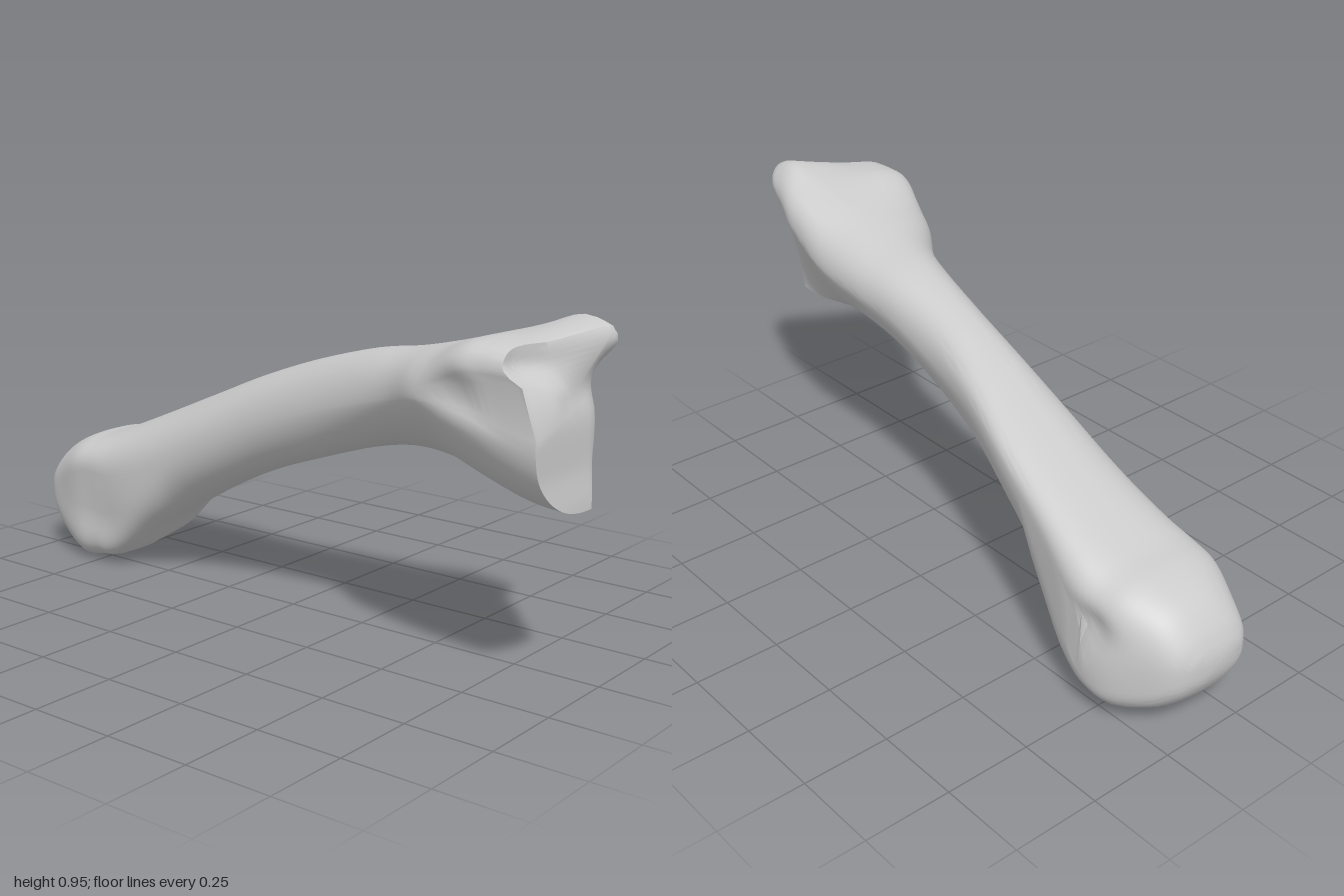
import * as THREE from 'three';
import { toCreasedNormals } from 'three/addons/utils/BufferGeometryUtils.js';

// Outline along the bone: z, left x, right x, bottom y, top y, x of top, x of bottom, y of left, y of right
const OUTLINE = [
  [0.97, -0.31, 0.075, 0.478, 0.9, 0.0, -0.055, 0.69, 0.83],
  [0.88, -0.312, 0.108, 0.48, 0.905, 0.0, -0.05, 0.71, 0.8],
  [0.77, -0.312, 0.118, 0.502, 0.9, -0.04, -0.045, 0.74, 0.77],
  [0.6, -0.272, 0.123, 0.54, 0.855, -0.06, -0.03, 0.74, 0.72],
  [0.45, -0.18, 0.12, 0.547, 0.82, -0.04, -0.01, 0.7, 0.7],
  [0.3, -0.135, 0.115, 0.52, 0.795, -0.02, 0, 0.66, 0.68],
  [0.1, -0.11, 0.119, 0.455, 0.74, 0, 0.01, 0.6, 0.62],
  [-0.1, -0.1, 0.155, 0.38, 0.67, 0.02, 0.03, 0.53, 0.58],
  [-0.3, -0.103, 0.208, 0.28, 0.587, 0.05, 0.05, 0.44, 0.51],
  [-0.5, -0.107, 0.25, 0.16, 0.503, 0.08, 0.07, 0.34, 0.41],
  [-0.65, -0.108, 0.287, 0.037, 0.44, 0.09, 0.08, 0.3, 0.3],
  [-0.74, -0.107, 0.305, 0.012, 0.407, 0.09, 0.08, 0.3, 0.18],
  [-0.82, -0.1, 0.298, 0, 0.39, 0.1, 0.08, 0.28, 0.16],
  [-0.91, -0.07, 0.255, 0.04, 0.35, 0.1, 0.08, 0.22, 0.17],
  [-0.965, -0.045, 0.215, 0.1, 0.295, 0.09, 0.09, 0.2, 0.19],
  [-0.99, -0.01, 0.17, 0.145, 0.25, 0.09, 0.09, 0.2, 0.2],
];

// Squareness of the four corners: z, top right, top left, bottom left, bottom right
const CORNERS = [
  [0.97, 2.6, 8, 2.4, 0.8],
  [0.88, 2.6, 7, 2.1, 0.95],
  [0.77, 2.5, 5, 1.8, 1.15],
  [0.6, 2.2, 2.2, 1.4, 1.4],
  [0.1, 2.4, 2, 1.8, 1.6],
  [-0.4, 3, 2.2, 2.1, 1.8],
  [-0.7, 3.3, 2.6, 6, 7],
  [-1, 2.5, 2.5, 2.6, 2.8],
];

const SIDES = 64, STEPS = 4, CAP_RINGS = 12;
const { clamp, lerp, smoothstep } = THREE.MathUtils;
const bell = (v, centre, width) => Math.exp(-(((v - centre) / width) ** 2));

// Smooth blend through four neighbouring values
function blend(a, b, c, d, t) {
  const m = (c - a) / 2, n = (d - b) / 2;
  return b + m * t + (3 * (c - b) - 2 * m - n) * t * t + (2 * (b - c) + m + n) * t * t * t;
}

function cornersAt(z) {
  let i = 0;
  while (i < CORNERS.length - 2 && z < CORNERS[i + 1][0]) i++;
  const a = CORNERS[i], b = CORNERS[i + 1];
  const t = clamp((z - a[0]) / (b[0] - a[0]), 0, 1);
  return a.slice(1).map((v, k) => lerp(v, b[k + 1], t));
}

// One closed cross-section made of four superellipse quarters
function section([z, x0, x1, y0, y1, xt, xb, yl, yr]) {
  const corners = cornersAt(z), ring = [];
  for (let j = 0; j < SIDES; j++) {
    const angle = (j / SIDES) * Math.PI * 2;
    const c = Math.cos(angle), s = Math.sin(angle);
    const power = 2 / corners[Math.floor((j * 4) / SIDES)];
    const cx = s >= 0 ? xt : xb, cy = c >= 0 ? yr : yl;
    ring.push(new THREE.Vector3(
      lerp(cx, c >= 0 ? x1 : x0, Math.abs(c) ** power),
      lerp(cy, s >= 0 ? y1 : y0, Math.abs(s) ** power), z));
  }
  return ring;
}

// Shrinks an end ring to its middle to close the bone, swelling by the given depth
function capRings(ring, depth) {
  const mid = ring.reduce((sum, p) => sum.add(p), new THREE.Vector3()).divideScalar(SIDES);
  return Array.from({ length: CAP_RINGS }, (_, k) => {
    const t = (k + 1) / CAP_RINGS;
    const swell = new THREE.Vector3(0, 0, depth * (1 - (1 - t) ** 2));
    return ring.map((p) => p.clone().lerp(mid, t).add(swell));
  });
}

// Knobs, notches and pits at both ends
function sculpt(p) {
  const { x, y, z } = p;
  if (z > 0.5) {
    // Depth of the hip end: blunt tip, receding upper lobe, rounded outer side
    const tip = bell(x, 0.02, 0.06) * bell(y, 0.87, 0.05);
    const face = 0.972 + 0.03 * tip - 0.018 * bell(y, 0.78, 0.05)
      - 0.1 * smoothstep(y, 0.77, 0.86) * smoothstep(-x, 0.03, 0.28)
      - 0.09 * clamp((x + 0.06) / 0.14, 0, 1) ** 2 * (1 - 0.8 * tip)
      + 0.013 * smoothstep(-y, -0.6, -0.48);
    if (z > 0.65) p.z = 0.65 + ((z - 0.65) * (face - 0.65)) / 0.32;
    // Notch between the ball and the upper lobe
    p.x += 0.042 * smoothstep(z, 0.6, 0.8) * bell(y, 0.768, 0.04) * smoothstep(-x, 0.12, 0.28);
    // Crest on top
    p.y += 0.042 * bell(x, 0, 0.06) * bell(z, 0.91, 0.085) * smoothstep(y, 0.75, 0.88);
  }
  if (z < -0.5) {
    // Pits on the sides of the knee end
    p.x -= 0.035 * bell(y, 0.265, 0.05) * bell(z, -0.74, 0.08) * smoothstep(x, 0.15, 0.27);
    p.x += 0.022 * bell(y, 0.16, 0.09) * bell(z, -0.74, 0.13) * smoothstep(-x, 0, 0.09);
    // Underside rising towards the outer edge
    p.y += 0.045 * clamp((x - 0.08) / 0.22, 0, 1) * smoothstep(-y, -0.2, 0) * smoothstep(-z, 0.5, 0.7);
  }
}

function boneGeometry() {
  const rings = [], last = OUTLINE.length - 1;
  for (let i = 0; i < last; i++) {
    const rows = [-1, 0, 1, 2].map((k) => OUTLINE[clamp(i + k, 0, last)]);
    for (let s = 0; s < STEPS; s++) {
      rings.push(section(rows[1].map((_, k) =>
        blend(rows[0][k], rows[1][k], rows[2][k], rows[3][k], s / STEPS))));
    }
  }
  rings.push(section(OUTLINE[last]));
  const front = capRings(rings[0], 0).reverse();
  const back = capRings(rings[rings.length - 1], -0.01);
  const all = [...front, ...rings, ...back];

  const points = all.flat();
  points.forEach(sculpt);
  // Quads between rings, single triangles at the two closed ends
  const index = [];
  for (let i = 0; i < all.length - 1; i++) {
    for (let j = 0; j < SIDES; j++) {
      const a = i * SIDES + j, b = i * SIDES + ((j + 1) % SIDES);
      const c = a + SIDES, d = b + SIDES;
      if (i > 0) index.push(a, c, b);
      if (i < all.length - 2) index.push(b, c, d);
    }
  }
  const geometry = new THREE.BufferGeometry().setFromPoints(points);
  geometry.setIndex(index);
  return toCreasedNormals(geometry, Math.PI / 3);
}

export function createModel() {
  const group = new THREE.Group();
  group.name = 'thighBone';
  const bone = new THREE.Mesh(boneGeometry(), new THREE.MeshStandardMaterial({ color: 0xcccccc }));
  bone.name = 'bone';
  group.add(bone);
  return group;
}
